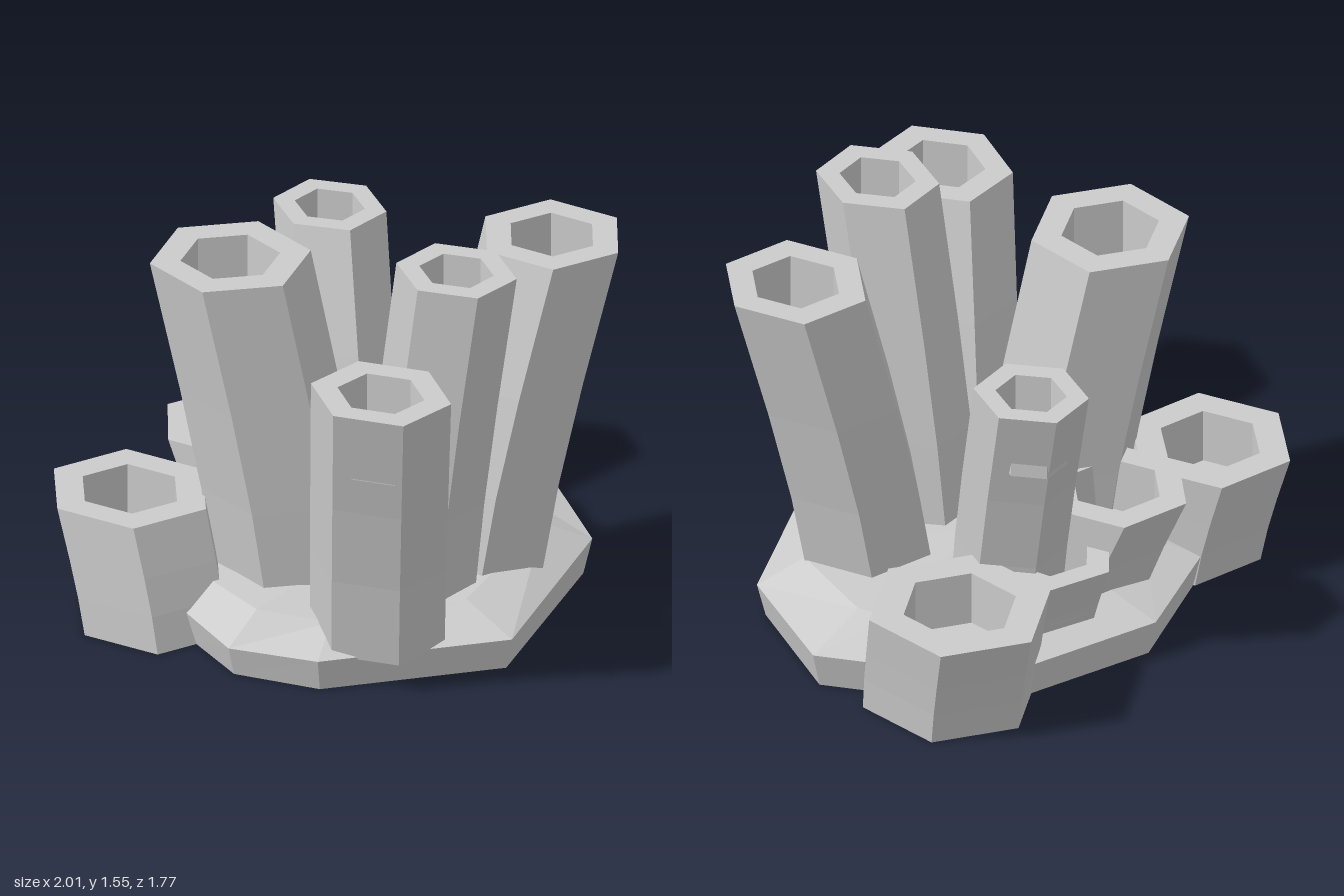
import * as THREE from 'three';

const stone = new THREE.MeshStandardMaterial({ color: 0xcccccc, flatShading: true, side: THREE.DoubleSide });
stone.name = 'pale stone';

// Skin a list of equal-length rings; points run from +x towards +z
function loft(name, rings) {
  const n = rings[0].length;
  const pos = [];
  for (let k = 0; k + 1 < rings.length; k++) {
    const lo = rings[k], up = rings[k + 1];
    for (let i = 0; i < n; i++) {
      const j = (i + 1) % n;
      pos.push(...lo[i], ...up[i], ...lo[j], ...lo[j], ...up[i], ...up[j]);
    }
  }
  const geo = new THREE.BufferGeometry();
  geo.setAttribute('position', new THREE.Float32BufferAttribute(pos, 3));
  geo.computeVertexNormals();
  const mesh = new THREE.Mesh(geo, stone);
  mesh.name = name;
  return mesh;
}

// Leaning hexagonal tube with a straight blind hole in its top; sz stretches the hexagon in z
function tube({ name, top, foot, r, deg, sz = 1, y0, depth }) {
  const [tx, ty, tz] = top, [fx, fz] = foot;
  const hex = (x, y, z, radius) => Array.from({ length: 6 }, (_, i) => {
    const a = THREE.MathUtils.degToRad(deg + i * 60);
    return [x + radius * Math.cos(a), y, z + radius * sz * Math.sin(a)];
  });
  const rings = [hex(fx, y0, fz, 0)];
  for (const t of [0, 0.3, 0.6, 1]) {
    const s = Math.pow(t, 1.2);
    rings.push(hex(fx + (tx - fx) * s, y0 + (ty - y0) * t, fz + (tz - fz) * s, r * (0.96 + 0.04 * t)));
  }
  const hole = r * 0.62;
  rings.push(hex(tx, ty, tz, hole), hex(tx, ty - depth, tz, hole), hex(tx, ty - depth, tz, 0));
  return loft(name, rings);
}

// Irregular rock slab: [rim x, rim z, rim height, shoulder scale, shoulder height]
function rock() {
  const rim = [
    [0.95, -0.03, 0.15, 0.72, 0.22],
    [0.72, 0.44, 0.14, 0.78, 0.225],
    [-0.04, 0.80, 0.13, 0.68, 0.20],
    [-0.68, 0.43, 0.13, 0.74, 0.19],
    [-0.83, 0.11, 0.12, 0.80, 0.215],
    [-0.75, -0.22, 0.13, 0.84, 0.22],
    [-0.50, -0.68, 0.14, 0.75, 0.21],
    [-0.04, -0.85, 0.15, 0.75, 0.21],
    [0.55, -0.66, 0.15, 0.75, 0.21],
    [0.86, -0.20, 0.15, 0.75, 0.22],
  ];
  return loft('rockBase', [
    rim.map(() => [0, 0, 0]),
    rim.map(([x, z]) => [x * 0.96, 0, z * 0.96]),
    rim.map(([x, z, y]) => [x, y, z]),
    rim.map(([x, z, , s, y]) => [x * s, y, z * s]),
    rim.map(() => [0, 0.225, 0]),
  ]);
}

export function createModel() {
  const group = new THREE.Group();
  group.name = 'tubeCluster';
  group.add(rock());

  // Tall tubes rising from the rock
  const tall = [
    { name: 'tallTubeFrontRight', top: [-0.553, 1.28, 0.635], foot: [-0.355, 0.41], r: 0.25, deg: -1, sz: 1.12 },
    { name: 'tallTubeFrontMiddle', top: [-0.03, 1.55, 0.495], foot: [-0.03, 0.28], r: 0.212, deg: -3, sz: 1.13 },
    { name: 'tallTubeFrontLeft', top: [0.57, 1.44, 0.38], foot: [0.30, 0.26], r: 0.275, deg: 14, sz: 1.04 },
    { name: 'tallTubeBackRight', top: [-0.435, 1.46, -0.29], foot: [-0.26, -0.13], r: 0.302, deg: -26 },
    { name: 'tallTubeBackLeft', top: [0.37, 1.27, -0.595], foot: [0.21, -0.33], r: 0.202, deg: -4, sz: 1.1 },
  ];
  for (const t of tall) group.add(tube({ ...t, y0: 0.12, depth: 0.3 }));

  // Short tubes along the back edge
  const low = [
    { name: 'shortTubeLeft', top: [0.70, 0.465, -0.53], foot: [0.64, -0.43], r: 0.345, deg: -28, sz: 1.04 },
    { name: 'shortTubeRight', top: [-0.70, 0.49, -0.55], foot: [-0.69, -0.43], r: 0.31, deg: 13, sz: 1.05 },
    { name: 'shortTubeMiddle', top: [-0.16, 0.57, -0.555], foot: [-0.12, -0.36], r: 0.28, deg: 14, sz: 1.02 },
    { name: 'shortTubeInner', top: [0.19, 0.44, -0.535], foot: [0.15, -0.40], r: 0.25, deg: 20 },
  ];
  for (const t of low) group.add(tube({ ...t, y0: 0, depth: 0.22 }));
  return group;
}
